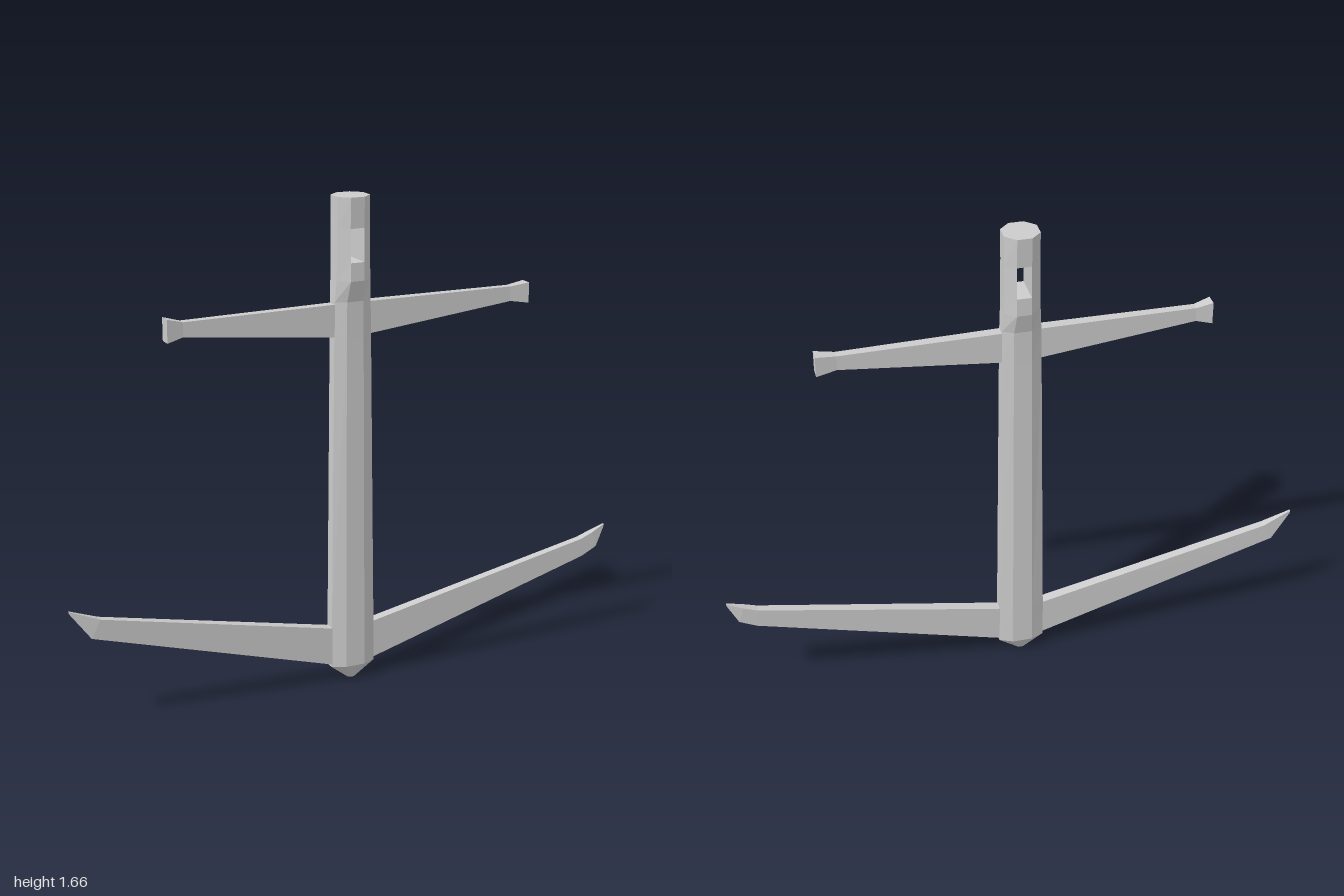
import * as THREE from 'three';

const material = new THREE.MeshStandardMaterial({ color: 0xcccccc, flatShading: true });

// Closed solid through rings of [x, y, z]; rings run counter-clockwise seen from the far end
function loft(name, rings) {
  const pos = [];
  const tri = (a, b, c) => pos.push(...a, ...b, ...c);
  for (let r = 0; r < rings.length - 1; r++) {
    const a = rings[r], b = rings[r + 1], n = a.length;
    for (let i = 0; i < n; i++) {
      const j = (i + 1) % n;
      tri(a[i], a[j], b[j]);
      tri(a[i], b[j], b[i]);
    }
  }
  const first = rings[0], last = rings[rings.length - 1];
  for (let i = 1; i < first.length - 1; i++) {
    tri(first[0], first[i + 1], first[i]);
    tri(last[0], last[i], last[i + 1]);
  }
  const geometry = new THREE.BufferGeometry();
  geometry.setAttribute('position', new THREE.Float32BufferAttribute(pos, 3));
  geometry.computeVertexNormals();
  const mesh = new THREE.Mesh(geometry, material);
  mesh.name = name;
  return mesh;
}

// Chamfered cross-section: half width, front flat, half depth, side flat
const CX = -0.012;
const octagon = ([y, hx, fx, hz, fz]) => [
  [fx, hz], [hx, fz], [hx, -fz], [fx, -hz],
  [-fx, -hz], [-hx, -fz], [-hx, fz], [-fx, hz],
].map(([x, z]) => [x + CX, y, z]);

// Four-sided bar section with separate lower and upper x; bars lie slightly skewed in z
const bar = ([xLow, yLow, xHigh, yHigh, hz]) => [
  [xHigh, yHigh, hz], [xLow, yLow, hz], [xLow, yLow, -hz], [xHigh, yHigh, -hz],
].map(([x, y, z]) => [x, y, z - 0.007 * x]);

export function createModel() {
  const model = new THREE.Group();
  model.name = 'anchor';

  // Shank with pointed crown, widening into the head
  model.add(loft('shank', [
    [0, 0.014, 0.007, 0.012, 0.006],
    [0.052, 0.079, 0.034, 0.038, 0.018],
    [0.2, 0.078, 0.034, 0.038, 0.018],
    [1.2, 0.066, 0.03, 0.037, 0.018],
    [1.32, 0.064, 0.029, 0.038, 0.018],
    [1.39, 0.06, 0.024, 0.056, 0.024],
    [1.45, 0.059, 0.024, 0.054, 0.024],
  ].map(octagon)));

  // Head: two cheeks either side of the slot, closed by a cap
  const slot = [[1.45, 0.059, 0.024, 0.054, 0.024], [1.56, 0.058, 0.024, 0.053, 0.024]].map(octagon);
  model.add(loft('leftCheek', slot.map((ring) => ring.slice(0, 4))));
  model.add(loft('rightCheek', slot.map((ring) => ring.slice(4))));
  model.add(loft('headCap', [slot[1], octagon([1.66, 0.058, 0.024, 0.057, 0.025])]));

  // Cross stock with flared ends
  model.add(loft('stock', [
    [-0.65, 1.247, -0.65, 1.323, 0.021],
    [-0.595, 1.26, -0.595, 1.308, 0.014],
    [-0.08, 1.205, -0.08, 1.312, 0.018],
    [0.055, 1.205, 0.055, 1.312, 0.018],
    [0.58, 1.258, 0.58, 1.308, 0.014],
    [0.647, 1.247, 0.647, 1.317, 0.021],
  ].map(bar)));

  // Arms sweeping up to thin, hooked tips
  model.add(loft('arms', [
    [-0.998, 0.402, -1, 0.412, 0.004],
    [-0.932, 0.312, -0.9, 0.372, 0.014],
    [-0.09, 0.062, -0.095, 0.195, 0.018],
    [0.066, 0.062, 0.07, 0.195, 0.018],
    [0.904, 0.291, 0.898, 0.356, 0.014],
    [0.963, 0.318, 0.945, 0.373, 0.012],
    [0.998, 0.385, 1, 0.394, 0.004],
  ].map(bar)));

  return model;
}
